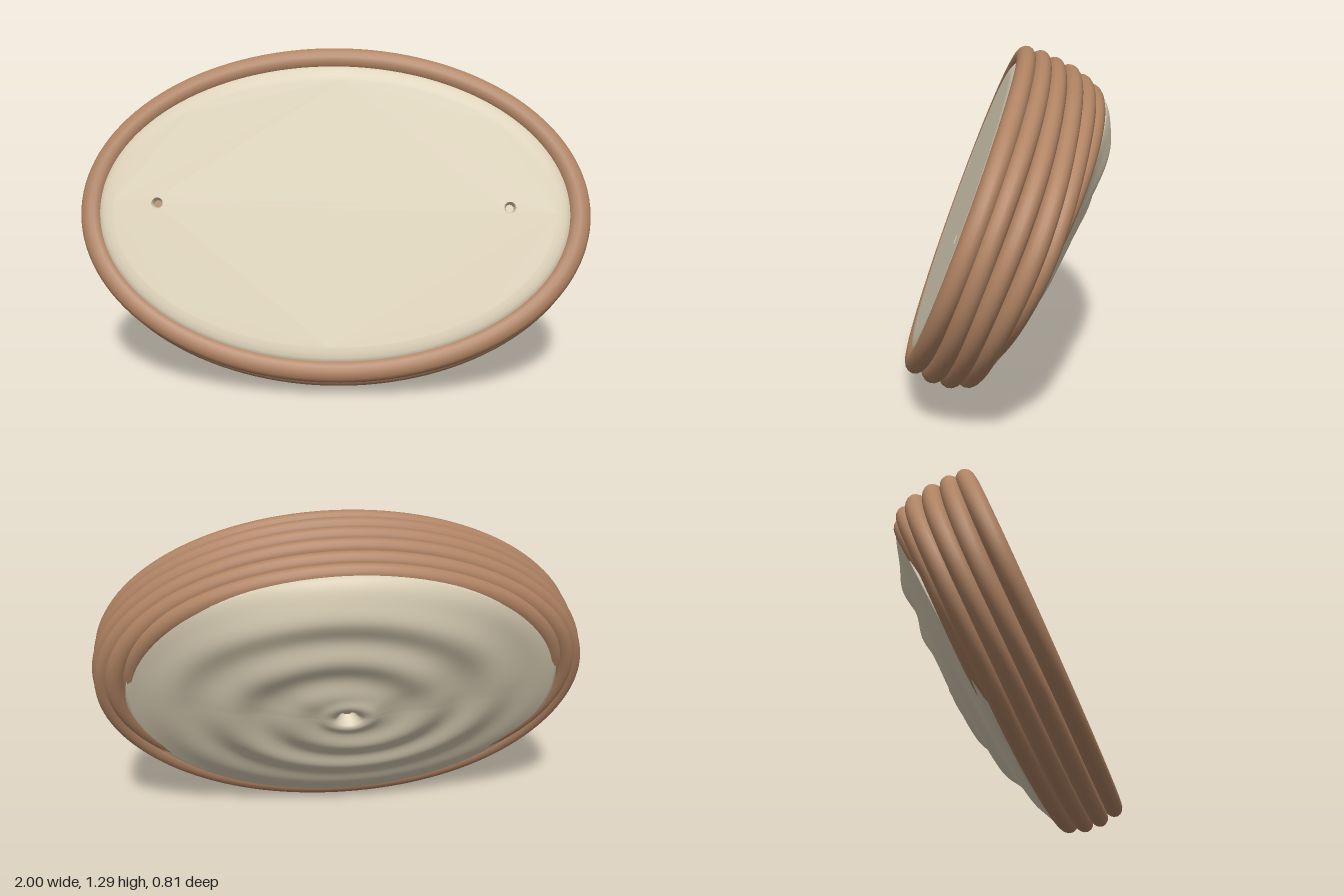
import * as THREE from 'three';

const TAU = Math.PI * 2;
const lerp = THREE.MathUtils.lerp;

// Surface from rings: point(theta, row) gives [x, y, z]; closed around theta, optionally across rows.
function loft(seg, rows, closeRows, point) {
  const pos = [], idx = [];
  for (let r = 0; r < rows; r++)
    for (let i = 0; i < seg; i++) pos.push(...point((i / seg) * TAU, r));
  const last = closeRows ? rows : rows - 1;
  for (let r = 0; r < last; r++)
    for (let i = 0; i < seg; i++) {
      const n = (i + 1) % seg, q = (r + 1) % rows;
      const a = r * seg + i, b = r * seg + n, c = q * seg + n, d = q * seg + i;
      idx.push(a, b, c, a, c, d);
    }
  const g = new THREE.BufferGeometry();
  g.setAttribute('position', new THREE.Float32BufferAttribute(pos, 3));
  g.setIndex(idx);
  g.computeVertexNormals();
  return g;
}

export function createModel() {
  const clay = new THREE.MeshStandardMaterial({ color: 0xb08363 });
  clay.name = 'terracotta';
  const cream = new THREE.MeshStandardMaterial({ color: 0xdacfb6, side: THREE.DoubleSide });
  cream.name = 'cream';

  const model = new THREE.Group();
  model.name = 'coiledOvalDish';
  // The dish is built facing +z, then leaned back.
  const dish = new THREE.Group();
  dish.name = 'dish';
  dish.rotation.x = -0.367;
  dish.position.y = 0.655;
  model.add(dish);

  const add = (name, geometry, material, x = 0, y = 0, z = 0) => {
    const m = new THREE.Mesh(geometry, material);
    m.name = name;
    m.position.set(x, y, z);
    dish.add(m);
    return m;
  };

  // Stacked rim coils: side reach, top reach, bottom reach, depth at top, depth at bottom
  const coils = [
    [0.998, 0.626, -0.696, 0.150, 0.152],
    [1.0, 0.631, -0.710, 0.089, 0.082],
    [1.0, 0.626, -0.705, 0.027, 0.016],
    [0.985, 0.620, -0.682, -0.040, -0.046],
    [0.935, 0.602, -0.590, -0.100, -0.066],
    [0.875, 0.580, -0.530, -0.148, -0.035],
  ];
  const halfW = 0.045, halfH = 0.037;
  coils.forEach(([rx, top, bottom, zTop, zBottom], k) => {
    const ry = (top - bottom) / 2, cy = (top + bottom) / 2;
    const wave = k === 0 || k === 5 ? 0 : 0.007;
    const g = loft(128, 16, true, (t, r) => {
      const p = (r / 16) * TAU, c = Math.cos(t), s = Math.sin(t);
      const out = Math.cos(p) * halfW - halfW;
      const z = lerp(zBottom, zTop, (s + 1) / 2) + wave * Math.sin(3 * t + k * 1.1) * c * c;
      return [c * (rx + out), cy + s * (ry + out), z + Math.sin(p) * halfH];
    });
    add('rimCoil' + (k + 1), g, clay);
  });

  // Swirled back dome with a sunken centre and a short skirt tucked into the coils
  const ringCount = 64;
  const dome = loft(128, ringCount + 2, false, (t, r) => {
    const c = Math.cos(t), sn = Math.sin(t), up = Math.max(0, sn);
    const skirt = r > ringCount;
    const s = Math.max(0.02, Math.min(1, r / ringCount));
    const edge = -0.12 - 0.0475 * sn - 0.0175 * sn * sn;
    const f = 1 - Math.pow(s, 1.8 + 6 * up ** 4);
    let z = lerp(edge, -0.24 - 0.04 * up * s, f);
    z += 0.010 * Math.sin(TAU * 3.3 * s + t) * Math.sin(Math.PI * s);
    z += 0.05 * Math.exp(-((s / 0.045) ** 4)) - 0.01 * Math.exp(-(((s - 0.1) / 0.04) ** 2));
    if (skirt) z += 0.06;
    const grow = skirt ? 0.985 : 1;
    const cy = lerp(-0.08, -0.035, Math.min(1, s * 1.4));
    return [c * 0.86 * s * grow, cy + sn * 0.588 * s * grow, z];
  });
  add('backDome', dome, cream);
  const backPlug = add('backHoleFloor', new THREE.CircleGeometry(0.017, 20), clay, 0, -0.08, -0.196);
  backPlug.rotation.y = Math.PI;

  // Flat front face with two small holes
  const cy = -0.038, holeX = 0.687, holeY = -0.018, holeR = 0.023, faceZ = 0.186;
  const face = new THREE.Shape();
  face.absellipse(0, cy, 0.86, 0.526, 0, TAU, false, 0);
  for (const x of [-holeX, holeX]) {
    const hole = new THREE.Path();
    hole.absellipse(x, holeY, holeR, holeR, 0, TAU, true, 0);
    face.holes.push(hole);
  }
  add('frontFace', new THREE.ShapeGeometry(face, 64), cream, 0, 0, faceZ);

  // Softly rounded border of the front face, from outside to inside
  const border = [[0.93, 0.155], [0.915, 0.174], [0.9, 0.181], [0.88, 0.185], [0.86, faceZ]];
  add('frontBorder', loft(128, border.length, false, (t, r) => {
    const [rx, z] = border[r];
    return [rx * Math.cos(t), cy + (rx - 0.334) * Math.sin(t), z];
  }), cream);

  // Funnel-shaped dents behind the holes
  const funnel = [[holeR, 0], [0.018, -0.008], [0.015, -0.02], [0.014, -0.032]]
    .map(([x, y]) => new THREE.Vector2(x, y));
  for (const side of [-1, 1]) {
    const name = side < 0 ? 'rightHole' : 'leftHole';
    const wall = add(name + 'Wall', new THREE.LatheGeometry(funnel, 24), cream, side * holeX, holeY, faceZ);
    wall.rotation.x = Math.PI / 2;
    add(name + 'Floor', new THREE.CircleGeometry(0.017, 20), side < 0 ? clay : cream,
      side * holeX, holeY, faceZ - 0.02);
  }
  return model;
}
